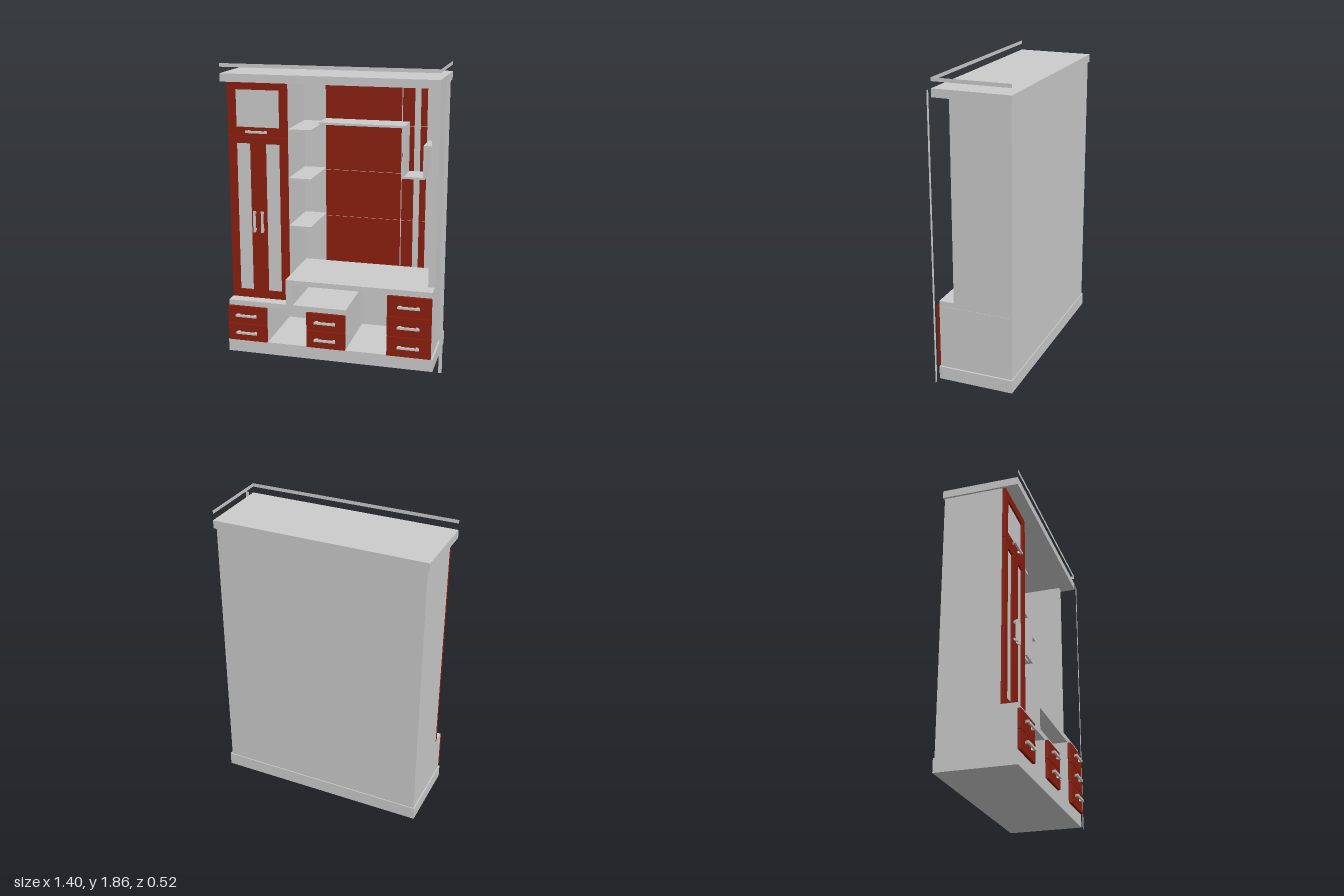
import * as THREE from 'three';

const grey = new THREE.MeshStandardMaterial({ color: 0xcccccc });
const greyFlat = new THREE.MeshStandardMaterial({ color: 0xcccccc, side: THREE.DoubleSide });
const red = new THREE.MeshStandardMaterial({ color: 0x8b1f0e });

const BACK = -0.25;   // rear of the carcass
const UPPER = 0.12;   // front of the upper section
const LOWER = 0.215;  // front of the lower section

export function createModel() {
  const root = new THREE.Group();
  root.name = 'wallUnit';

  // Box given by its minimum and maximum on each axis
  function box(name, x0, x1, y0, y1, z0, z1, material = grey, parent = root) {
    const mesh = new THREE.Mesh(new THREE.BoxGeometry(x1 - x0, y1 - y0, z1 - z0), material);
    mesh.position.set((x0 + x1) / 2, (y0 + y1) / 2, (z0 + z1) / 2);
    mesh.name = name;
    parent.add(mesh);
    return mesh;
  }

  // Bracket handle: a bar on two slightly splayed legs
  function handle(name, x, y, z, vertical = false) {
    const s = new THREE.Shape([
      [-0.07, 0.025], [-0.066, 0.01], [-0.058, 0], [-0.046, 0], [-0.054, 0.013],
      [0.054, 0.013], [0.046, 0], [0.058, 0], [0.066, 0.01], [0.07, 0.025],
    ].map(([a, b]) => new THREE.Vector2(a, b)));
    const geometry = new THREE.ExtrudeGeometry(s, { depth: 0.014, bevelEnabled: false });
    geometry.translate(0, 0, -0.007);
    geometry.rotateX(Math.PI / 2);
    if (vertical) geometry.rotateZ(Math.PI / 2);
    const mesh = new THREE.Mesh(geometry, grey);
    mesh.position.set(x, y, z);
    mesh.name = name;
    root.add(mesh);
  }

  // Framed door with a recessed pane
  function door(name, x0, x1, y0, y1, pane) {
    const [a, b, c, d] = pane;
    const rect = (l, r, lo, hi) => [[l, lo], [r, lo], [r, hi], [l, hi]].map((p) => new THREE.Vector2(...p));
    const shape = new THREE.Shape(rect(x0, x1, y0, y1));
    shape.holes.push(new THREE.Path(rect(a, b, c, d).reverse()));
    const geometry = new THREE.ExtrudeGeometry(shape, { depth: 0.02, bevelEnabled: false });
    const frame = new THREE.Mesh(geometry, red);
    frame.position.z = UPPER;
    frame.name = name + 'Frame';
    root.add(frame);
    box(name + 'Pane', a, b, c, d, UPPER, UPPER + 0.008);
  }

  // Plinth, top board and full-height back
  box('plinth', -0.765, 0.568, 0, 0.082, -0.256, 0.22);
  box('topBoard', -0.77, 0.572, 1.746, 1.796, -0.258, 0.22);
  box('backPanel', -0.757, 0.556, 0.082, 1.746, BACK, -0.24);

  // Right-hand side wall
  box('sideWallUpper', 0.513, 0.556, 0.515, 1.746, -0.24, UPPER);

  // Counters and the niche between them
  box('lowCounter', -0.757, 0.015, 0.318, 0.35, -0.24, LOWER);
  box('highCounter', -0.375, 0.556, 0.482, 0.515, -0.24, LOWER);
  box('nicheSupport', -0.375, -0.33, 0.35, 0.482, -0.24, LOWER);

  // Drawer units: left and centre with two drawers, right with three
  const units = [
    { name: 'leftDrawer', x0: -0.757, x1: -0.5, splits: [0.084, 0.2, 0.318] },
    { name: 'centreDrawer', x0: -0.236, x1: 0.013, splits: [0.084, 0.2, 0.318] },
    { name: 'rightDrawer', x0: 0.28, x1: 0.556, splits: [0.084, 0.215, 0.346, 0.48] },
  ];
  for (const { name, x0, x1, splits } of units) {
    box(name + 'Carcass', x0, x1, 0.082, splits[splits.length - 1] + 0.001, -0.24, LOWER);
    for (let i = 0; i < splits.length - 1; i++) {
      const lo = splits[i] + 0.002, hi = splits[i + 1] - 0.002;
      box(name + 'Front', x0, x1, lo, hi, LOWER, 0.235, red);
      handle(name + 'Handle', (x0 + x1) / 2, (lo + hi) / 2 + 0.002, 0.235);
    }
  }

  // Tall cabinet with a flap above two doors
  box('cabinetCarcass', -0.757, -0.377, 0.35, 1.746, -0.24, UPPER);
  door('flap', -0.757, -0.375, 1.403, 1.746, [-0.705, -0.425, 1.46, 1.692]);
  door('doorOuter', -0.757, -0.567, 0.35, 1.4, [-0.705, -0.615, 0.402, 1.36]);
  door('doorInner', -0.565, -0.375, 0.35, 1.4, [-0.515, -0.425, 0.402, 1.36]);
  handle('flapHandle', -0.567, 1.435, 0.14);
  for (const x of [-0.592, -0.54]) handle('doorHandle', x, 0.865, 0.14, true);

  // Red back cladding in columns and rows with narrow gaps
  const rows = [0.515, 0.828, 1.138, 1.445, 1.746];
  for (const [x0, x1] of [[-0.232, 0.263], [0.27, 0.345], [0.385, 0.425]]) {
    for (let i = 0; i < 4; i++) {
      box('cladding', x0, x1, rows[i] + 0.002, rows[i + 1] - 0.002, -0.24, -0.232, red);
    }
  }

  // Deep shelves beside the cabinet
  for (const y of [0.828, 1.134, 1.44]) {
    box('sideShelf', -0.377, -0.232, y, y + 0.015, -0.24, UPPER - 0.005);
  }

  // Stepped shelf running across the cladding to the side wall
  const path = [[-0.232, 1.461, 0.316, 1.475], [0.303, 1.15, 0.316, 1.461],
    [0.303, 1.145, 0.446, 1.158], [0.434, 1.158, 0.446, 1.358], [0.446, 1.346, 0.513, 1.358]];
  for (const [x0, y0, x1, y1] of path) box('steppedShelf', x0, x1, y0, y1, -0.24, -0.06);

  // Flat measuring strips along width, depth and height
  function strip(name, w, h, x, y, z, turn = 0) {
    const mesh = new THREE.Mesh(new THREE.PlaneGeometry(w, h), greyFlat);
    mesh.position.set(x, y, z);
    mesh.rotation.y = turn;
    mesh.name = name;
    root.add(mesh);
  }
  strip('widthStrip', 1.34, 0.022, -0.099, 1.846, 0.22);
  strip('depthStrip', 0.477, 0.022, 0.57, 1.846, -0.019, Math.PI / 2);
  strip('heightStrip', 0.022, 1.796, 0.615, 0.898, 0.22);

  return root;
}
